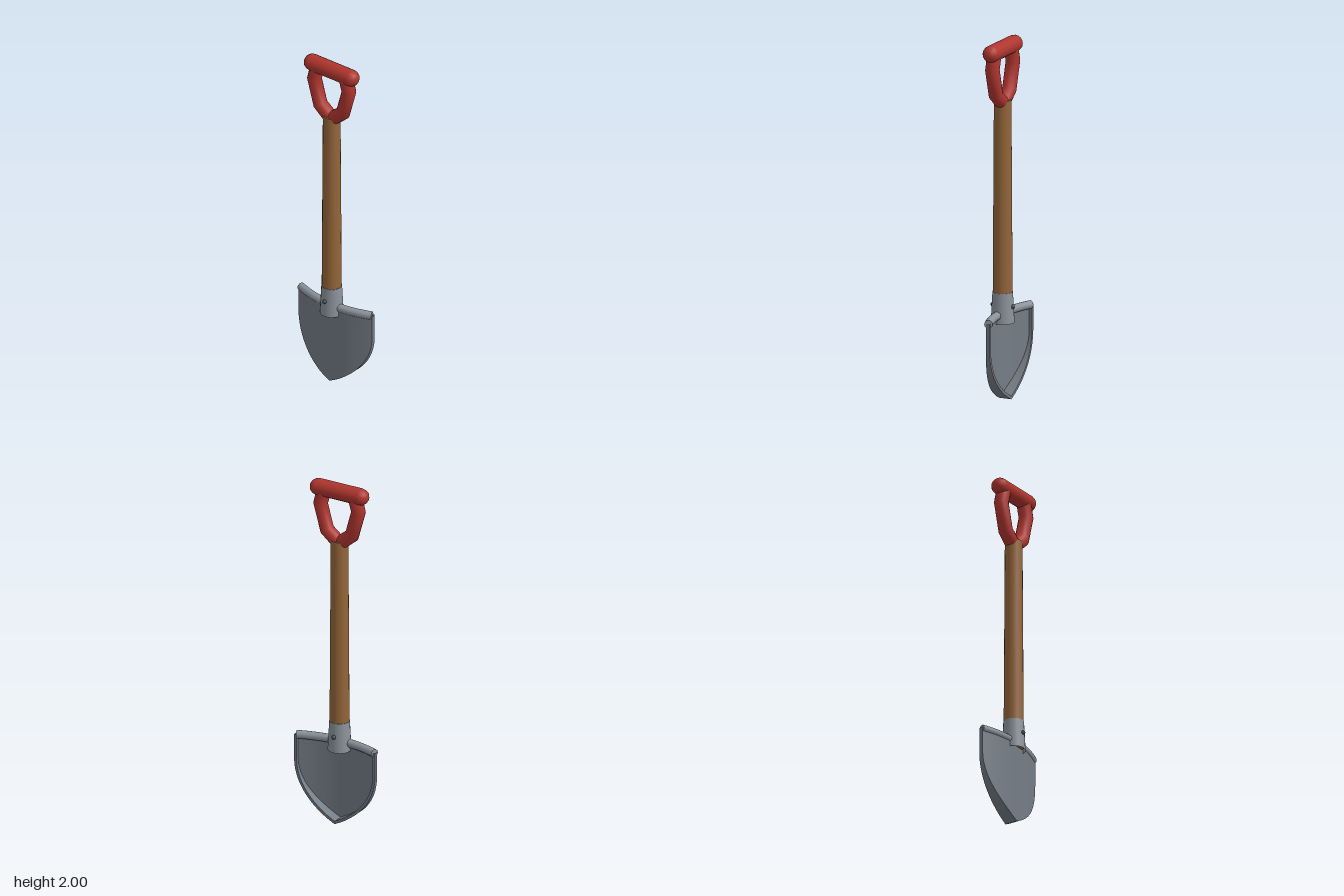
import * as THREE from 'three';
import { toCreasedNormals } from 'three/addons/utils/BufferGeometryUtils.js';

const mat = (color, side = THREE.FrontSide) => new THREE.MeshStandardMaterial({ color, side });
const V = (x, y, z = 0) => new THREE.Vector3(x, y, z);

// Surface through rows of points, all rows of equal length
function loft(rows, crease = 0.6) {
  const n = rows[0].length, index = [];
  for (let i = 0; i < rows.length - 1; i++) {
    for (let j = 0; j < n - 1; j++) {
      const a = i * n + j, c = a + n;
      index.push(a, c, a + 1, a + 1, c, c + 1);
    }
  }
  const geo = new THREE.BufferGeometry().setFromPoints(rows.flat());
  geo.setIndex(index);
  return toCreasedNormals(geo, crease);
}

export function createModel() {
  const model = new THREE.Group();
  const red = mat(0xb0352f), wood = mat(0x94663a, THREE.DoubleSide);
  const steel = mat(0x8b939b, THREE.DoubleSide), bladeSteel = mat(0x747c85, THREE.DoubleSide);
  const dark = mat(0x4a5056);

  const add = (name, geo, material, x = 0, y = 0, z = 0) => {
    const mesh = new THREE.Mesh(geo, material);
    mesh.name = name;
    mesh.position.set(x, y, z);
    model.add(mesh);
    return mesh;
  };

  // Wooden shaft, slightly tapered
  add('shaft', new THREE.CylinderGeometry(0.048, 0.055, 1.22, 20), wood, 0, 1.06);

  // Grip bar with rounded ends
  const grip = add('grip', new THREE.CapsuleGeometry(0.047, 0.266, 4, 16), red, 0, 1.953);
  grip.rotation.z = Math.PI / 2;

  // Bent arms joining the grip to the shaft
  for (const s of [1, -1]) {
    const path = new THREE.CurvePath();
    const pts = [V(0, 1.648), V(0.078, 1.712), V(0.119, 1.86), V(0.095, 1.95)].map(p => V(p.x * s, p.y));
    const rows = pts.map((p, i) => {
      const dir = V(0, 0);
      if (i > 0) dir.add(p.clone().sub(pts[i - 1]).normalize());
      if (i < pts.length - 1) dir.add(pts[i + 1].clone().sub(p).normalize());
      dir.normalize();
      const side = V(dir.y, -dir.x);
      return Array.from({ length: 15 }, (_, k) => {
        const a = -k / 14 * Math.PI * 2;
        return p.clone().addScaledVector(side, 0.04 * Math.cos(a)).add(V(0, 0, 0.04 * Math.sin(a)));
      });
    });
    add(s > 0 ? 'leftGripArm' : 'rightGripArm', loft(rows, 0.9), mat(0xb0352f, THREE.DoubleSide));
  }

  // Flared socket and its rivets
  add('socket', new THREE.CylinderGeometry(0.056, 0.065, 0.17, 20, 1, true), steel, 0, 0.515);
  const lip = new THREE.RingGeometry(0.046, 0.056, 20).rotateX(-Math.PI / 2);
  add('socketLip', lip, steel, 0, 0.6);
  for (const s of [1, -1]) {
    add(s > 0 ? 'frontRivet' : 'backRivet', new THREE.SphereGeometry(0.012, 10, 8), dark, 0, 0.522, s * 0.062);
  }

  // Half outline of the blade, from the top corner down to the tip
  const bowZ = x => 0.021 - 0.8 * x * x;
  const curve = new THREE.CubicBezierCurve(
    new THREE.Vector2(0.254, 0.33), new THREE.Vector2(0.248, 0.15),
    new THREE.Vector2(0.09, 0.045), new THREE.Vector2(0, 0.005));
  const half = [new THREE.Vector2(0.254, 0.48), ...curve.getPoints(18)];

  // Bowed blade sheet, front and back
  for (const [name, depth] of [['bladeFront', 0], ['bladeBack', 0.012]]) {
    const rows = half.map(p => Array.from({ length: 17 }, (_, j) => {
      const x = p.x * (j / 8 - 1);
      return V(x, p.y, bowZ(x) - depth);
    }));
    add(name, loft(rows), bladeSteel);
  }

  // Rim around the blade, reaching back to a flat plane
  const outline = [...half.map(p => V(-p.x, p.y)), ...half.slice(0, -1).reverse().map(p => V(p.x, p.y))];
  const rimRows = outline.map((p, i) => {
    const t = outline[Math.min(i + 1, outline.length - 1)].clone().sub(outline[Math.max(i - 1, 0)]).normalize();
    const q = V(p.x - t.y * 0.016, p.y + t.x * 0.016);
    return [V(p.x, p.y, bowZ(p.x)), V(p.x, p.y, -0.053), V(q.x, q.y, -0.053), V(q.x, q.y, bowZ(q.x) - 0.011)];
  });
  add('bladeRim', loft(rimRows), bladeSteel);

  // Rolled foot rest along the top of the blade
  const barPath = new THREE.QuadraticBezierCurve3(
    V(-0.245, 0.477, -0.042), V(0, 0.477, 0.054), V(0.245, 0.477, -0.042));
  add('footRest', new THREE.TubeGeometry(barPath, 20, 0.023, 12), steel);
  for (const s of [1, -1]) {
    const cap = add(s > 0 ? 'leftFootRestEnd' : 'rightFootRestEnd',
      new THREE.CircleGeometry(0.023, 12), steel, s * 0.245, 0.477, -0.042);
    cap.rotation.y = s * (Math.PI / 2 + 0.373);
  }
  return model;
}
